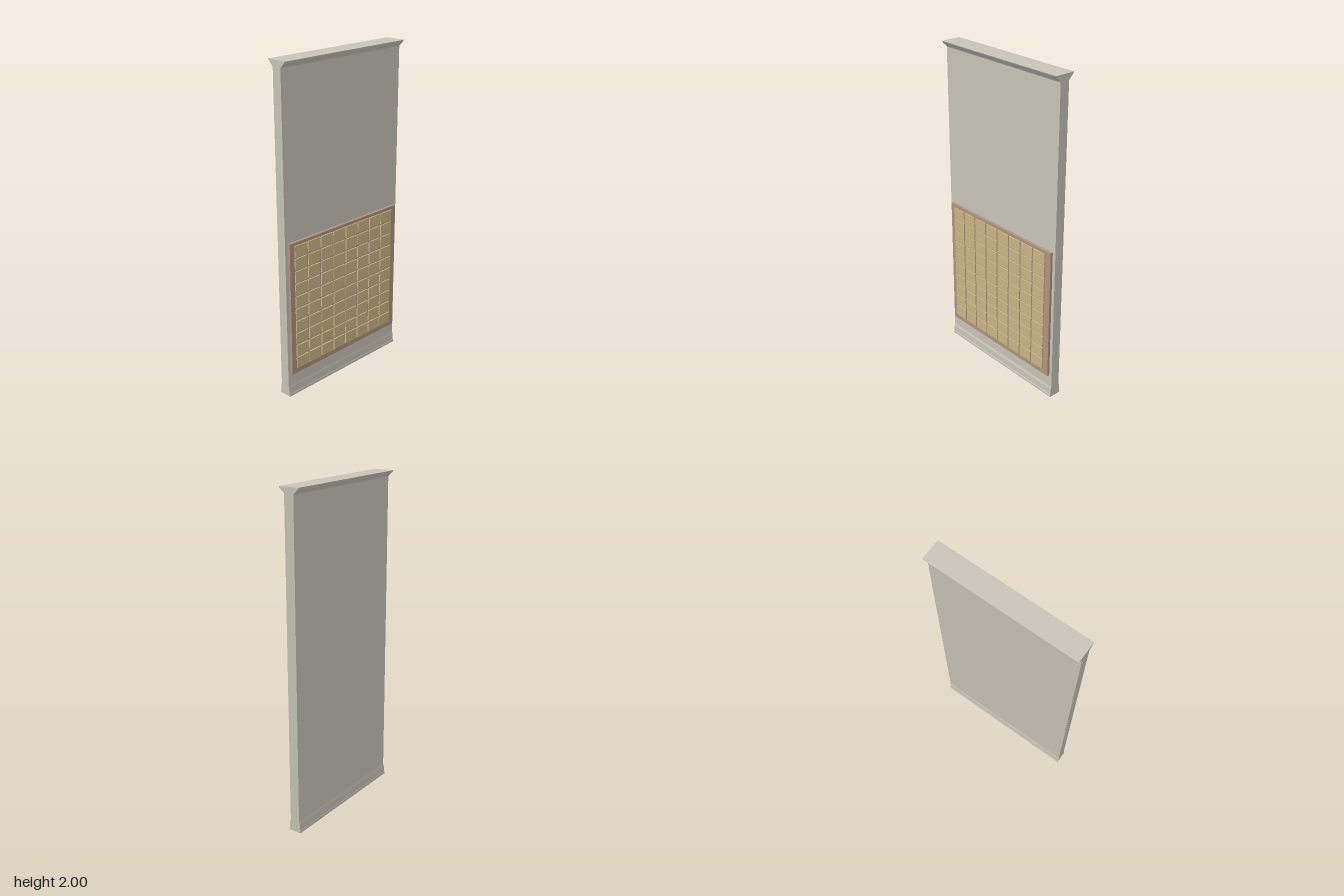
import * as THREE from 'three';

const mat = (name, color) => new THREE.MeshStandardMaterial({ name, color });

export function createModel() {
  const group = new THREE.Group();
  const stone = mat('warm grey plaster', 0xc8c4b8);
  const wood = mat('brown backing', 0xb0957f);
  const tan = mat('tan tile', 0xc8b685);

  const addBox = (name, w, h, d, x, y, z, material) => {
    const mesh = new THREE.Mesh(new THREE.BoxGeometry(w, h, d), material);
    mesh.name = name;
    mesh.position.set(x, y, z);
    group.add(mesh);
  };

  // Wall: half profile [z, y] with skirting and cove cornice, mirrored front to back
  const half = [
    [0.04, 0], [0.04, 0.012], [0.037, 0.018], [0.035, 0.055], [0.03, 0.07],
    [0.03, 1.96], [0.034, 1.967], [0.046, 1.978], [0.054, 1.986], [0.06, 1.993], [0.064, 2],
  ];
  const outline = [...half, ...half.map(([z, y]) => [-z, y]).reverse()];
  const shape = new THREE.Shape(outline.map(([z, y]) => new THREE.Vector2(z, y)));
  const width = 0.926;
  const wallGeometry = new THREE.ExtrudeGeometry(shape, { depth: width, bevelEnabled: false });
  wallGeometry.translate(0, 0, -width / 2).rotateY(-Math.PI / 2);
  const wall = new THREE.Mesh(wallGeometry, stone);
  wall.name = 'wall';
  group.add(wall);

  // Backing board on the lower front
  addBox('backingBoard', 0.885, 0.835, 0.018, 0, 0.5625, 0.037, wood);

  // Grid of raised tiles
  const cols = 8, rows = 10, px = 0.1022, py = 0.079, gap = 0.009;
  for (let c = 0; c < cols; c++) {
    for (let r = 0; r < rows; r++) {
      addBox('tile', px - gap, py - gap, 0.01,
        -0.004 + (c - (cols - 1) / 2) * px, 0.57 + (r - (rows - 1) / 2) * py, 0.048, tan);
    }
  }
  return group;
}
